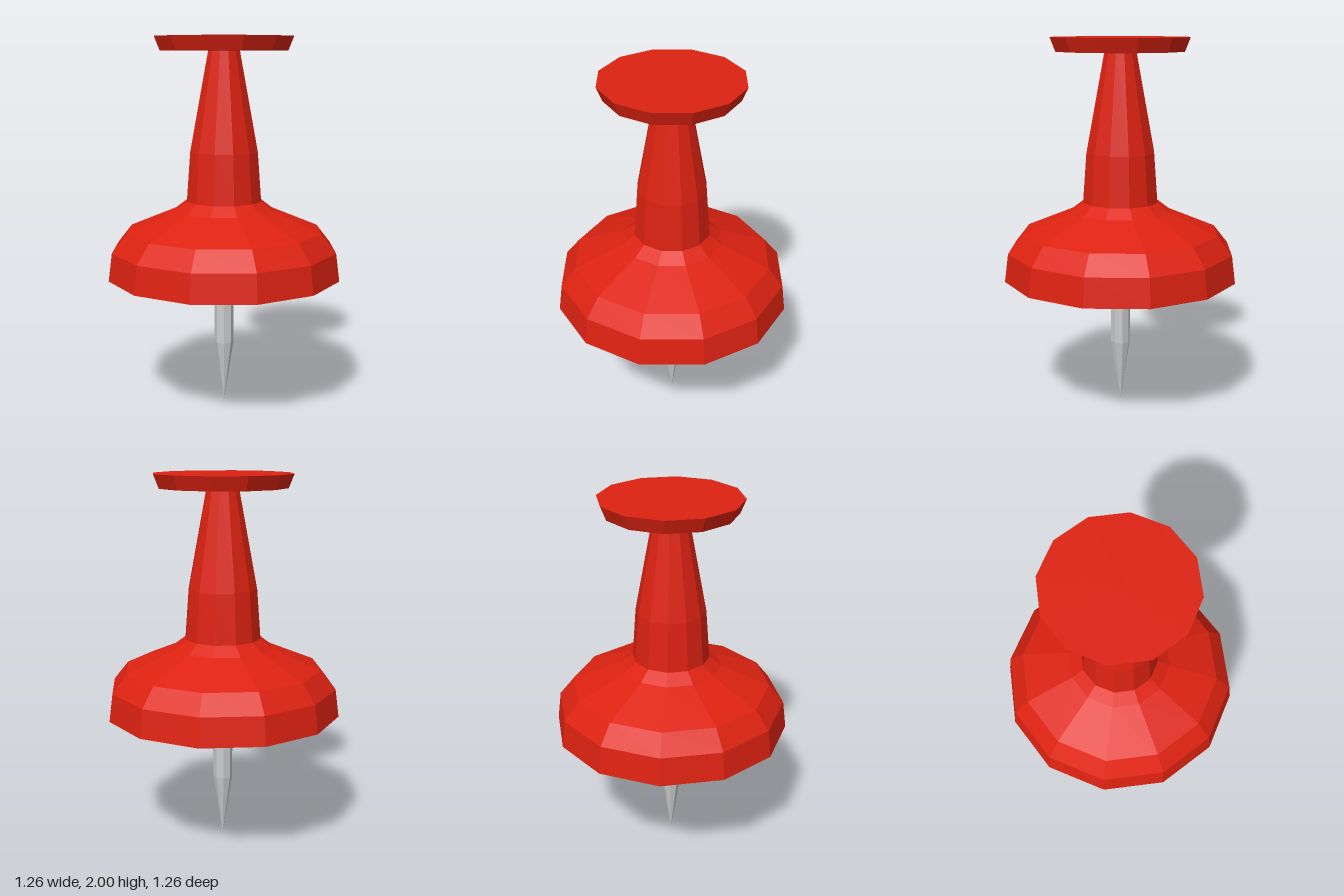
import * as THREE from 'three';

// Faceted part turned around the y axis from [radius, height] pairs, bottom to top
function turned(name, profile, sides, material) {
  const points = profile.map(([r, y]) => new THREE.Vector2(r, y));
  const mesh = new THREE.Mesh(new THREE.LatheGeometry(points, sides), material);
  mesh.name = name;
  return mesh;
}

export function createModel() {
  const red = new THREE.MeshStandardMaterial({ color: 0xdd2211, flatShading: true });
  const grey = new THREE.MeshStandardMaterial({ color: 0xcccccc, flatShading: true });

  const group = new THREE.Group();
  group.name = 'pushPin';

  // Wide domed collar, with its flat underside
  group.add(turned('collar', [
    [0, 0.725], [0.632, 0.725], [0.612, 0.875], [0.532, 0.975],
    [0.27, 1.085], [0.205, 1.135], [0, 1.135],
  ], 12, red));

  // Tapering grip
  group.add(turned('grip', [[0.205, 1.135], [0.185, 1.4], [0.085, 1.93]], 12, red));

  // Flared disc on top
  group.add(turned('head', [[0, 1.927], [0.342, 1.927], [0.371, 2], [0, 2]], 12, red));

  // Metal needle with a sharpened tip
  group.add(turned('needle', [[0, 0], [0.053, 0.345], [0.053, 0.73]], 8, grey));

  return group;
}
